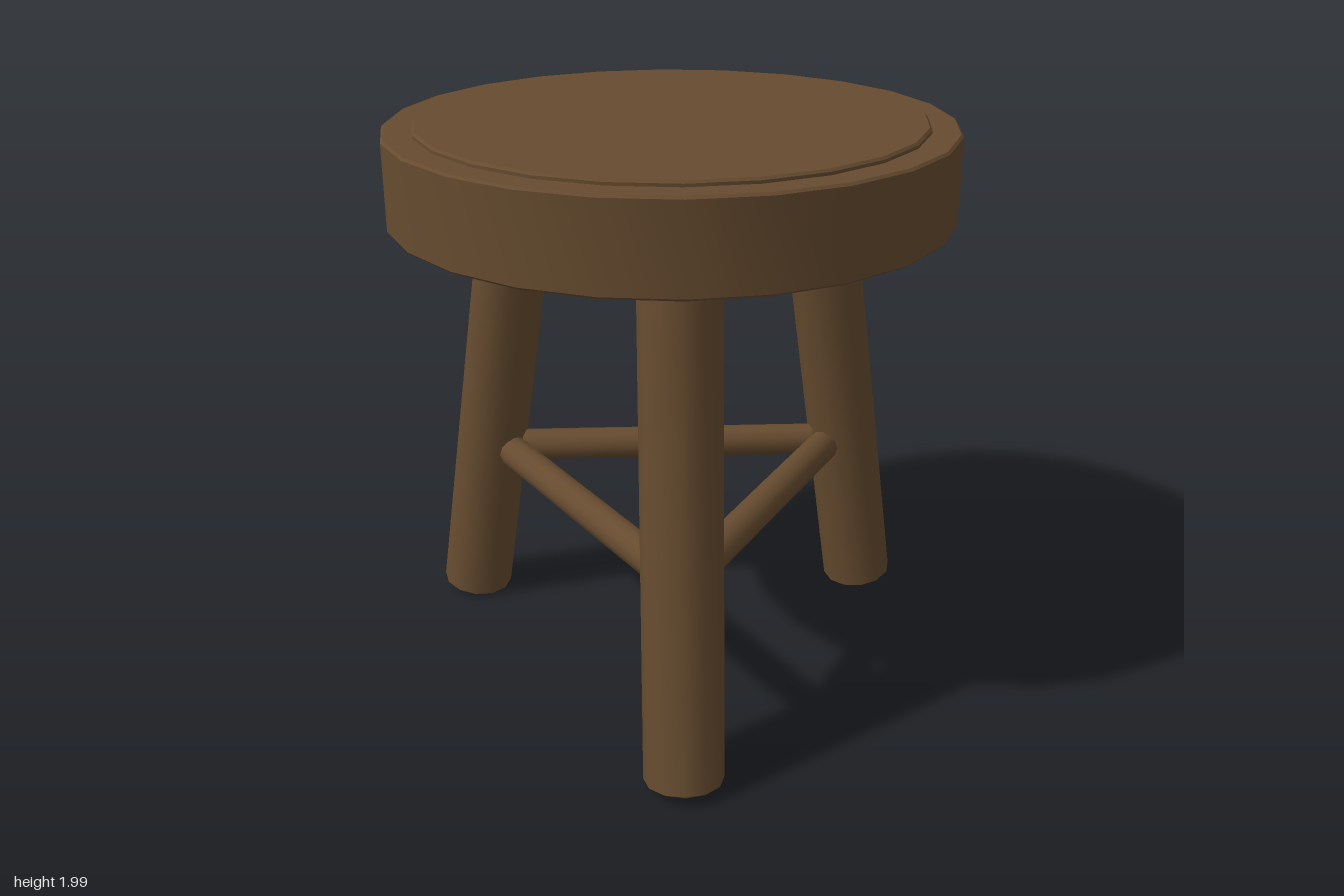
import * as THREE from 'three';
import { toCreasedNormals } from 'three/addons/utils/BufferGeometryUtils.js';

// Solid round of given radius and height, centred, with slightly eased edges
function easedRound(radius, height, sides, ease) {
  const h = height / 2;
  const profile = [
    [0, -h], [radius - ease, -h], [radius, -h + ease],
    [radius, h - ease], [radius - ease, h], [0, h],
  ].map(([x, y]) => new THREE.Vector2(x, y));
  return toCreasedNormals(new THREE.LatheGeometry(profile, sides), 0.6);
}

export function createModel() {
  const model = new THREE.Group();
  model.name = 'stool';
  const wood = new THREE.MeshStandardMaterial({ color: 0x664b2f });
  wood.name = 'brown wood';

  const add = (parent, geometry, name, x, y, z) => {
    const mesh = new THREE.Mesh(geometry, wood);
    mesh.name = name;
    mesh.position.set(x, y, z);
    parent.add(mesh);
    return mesh;
  };

  // Everything is arranged around the seat's axis
  const stool = new THREE.Group();
  stool.name = 'stoolBody';
  stool.position.x = -0.04;
  model.add(stool);

  // Seat slab with a slightly raised inner disc
  add(stool, easedRound(0.95, 0.3, 24, 0.008), 'seat', 0, 1.832, 0);
  add(stool, easedRound(0.85, 0.04, 24, 0.008), 'seatTop', 0, 1.98, 0);

  // Three splayed legs, each with the stretcher opposite it
  const legGeometry = easedRound(0.132, 1.684, 12, 0.006);
  const stretcherGeometry = easedRound(0.059, 1.12, 12, 0.005);
  for (let i = 0; i < 3; i++) {
    const side = new THREE.Group();
    side.name = 'legAndStretcher' + (i + 1);
    side.rotation.y = (i * Math.PI * 2) / 3;
    stool.add(side);

    add(side, legGeometry, 'leg', 0.755, 0.857, 0).rotation.z = 0.167;
    add(side, stretcherGeometry, 'stretcher', -0.364, 0.655, 0).rotation.x = Math.PI / 2;
  }
  return model;
}
